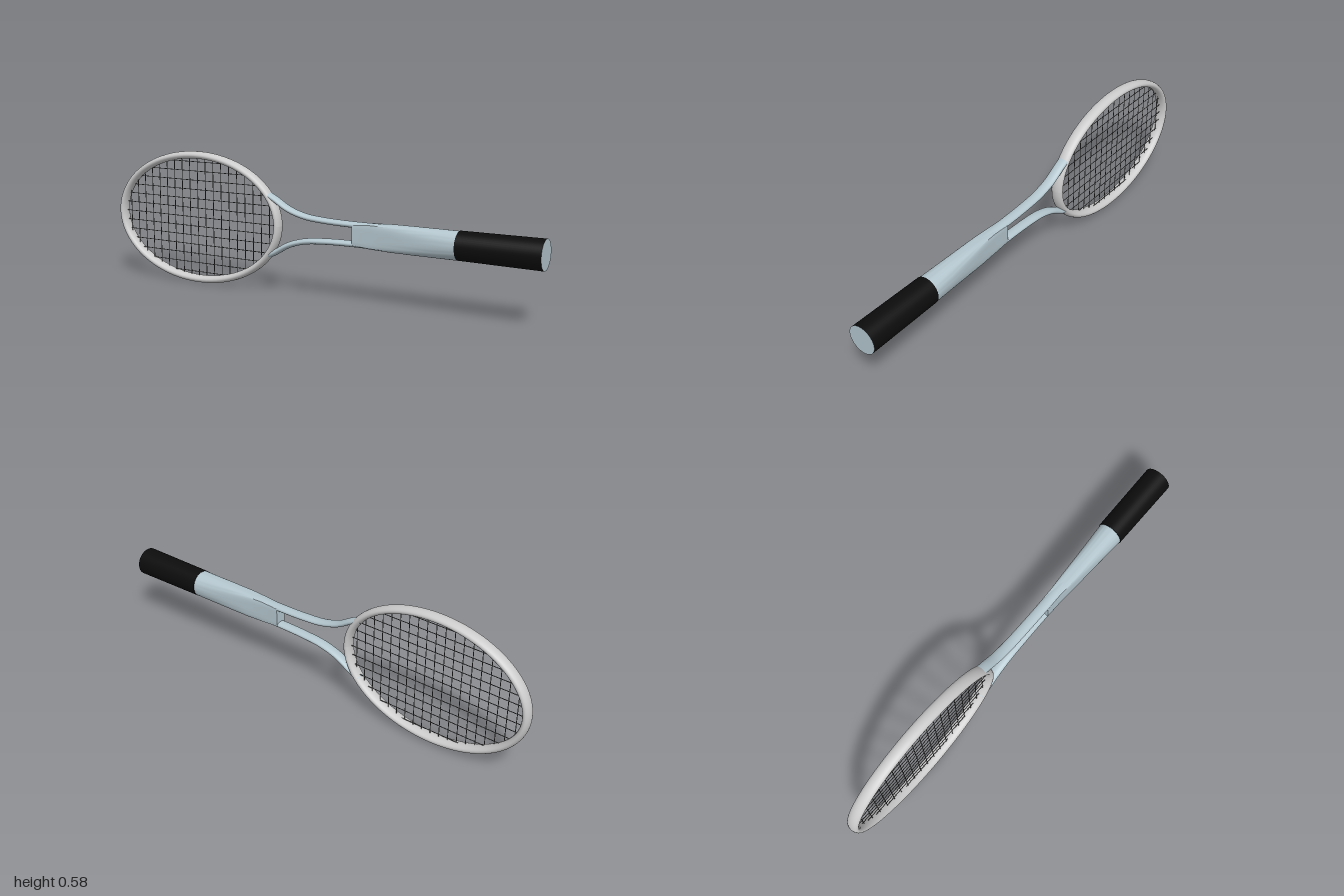
import * as THREE from 'three';
import { toCreasedNormals } from 'three/addons/utils/BufferGeometryUtils.js';

const CY = 0.2925; // height of the long axis
const HX = -0.573; // centre of the head
const RX = 0.4105, RY = 0.2765; // centre line of the hoop

const frameMat = new THREE.MeshStandardMaterial({ color: 0xcccccc });
const shaftMat = new THREE.MeshStandardMaterial({ color: 0xb4c6ce });
const gripMat = new THREE.MeshStandardMaterial({ color: 0x0c0c0c });
const stringMat = new THREE.MeshStandardMaterial({ color: 0x555555 });

// Skin a list of rings (arrays of Vector3, equal length); optional end caps.
function skin(rings, capped = false) {
  const pos = [], idx = [], n = rings[0].length;
  rings.forEach(r => r.forEach(p => pos.push(p.x, p.y, p.z)));
  for (let i = 0; i < rings.length - 1; i++) {
    for (let j = 0; j < n; j++) {
      const a = i * n + j, b = i * n + (j + 1) % n;
      idx.push(a, b, a + n, b, b + n, a + n);
    }
  }
  if (capped) {
    const last = (rings.length - 1) * n;
    for (let j = 1; j < n - 1; j++) {
      idx.push(0, j + 1, j, last, last + j, last + j + 1);
    }
  }
  const g = new THREE.BufferGeometry();
  g.setAttribute('position', new THREE.Float32BufferAttribute(pos, 3));
  g.setIndex(idx);
  g.computeVertexNormals();
  return g;
}

// Sweep an oval section (half width across the path, half depth in z) along a flat path.
function sweepOval(pointAt, tangentAt, steps, halfWidth, halfDepth, capped) {
  const rings = [];
  for (let i = 0; i <= steps; i++) {
    const p = pointAt(i / steps), t = tangentAt(i / steps);
    const ring = [];
    for (let j = 0; j < 20; j++) {
      const a = j / 20 * Math.PI * 2;
      const w = Math.cos(a) * halfWidth;
      ring.push(new THREE.Vector3(p.x - t.y * w, p.y + t.x * w, Math.sin(a) * halfDepth));
    }
    rings.push(ring);
  }
  return skin(rings, capped);
}

function add(parent, name, geometry, material) {
  const mesh = new THREE.Mesh(geometry, material);
  mesh.name = name;
  parent.add(mesh);
  return mesh;
}

export function createModel() {
  const racket = new THREE.Group();
  racket.name = 'racket';

  // Oval hoop
  const hoopGeo = sweepOval(
    t => new THREE.Vector2(HX + RX * Math.cos(t * 2 * Math.PI), CY + RY * Math.sin(t * 2 * Math.PI)),
    t => new THREE.Vector2(-RX * Math.sin(t * 2 * Math.PI), RY * Math.cos(t * 2 * Math.PI)).normalize(),
    96, 0.016, 0.027, false);
  add(racket, 'hoop', hoopGeo, frameMat);

  // String bed, each string reaching the hoop's centre line
  const strings = new THREE.Group();
  strings.name = 'strings';
  racket.add(strings);
  const pitch = 0.041, r = 0.0016;
  for (let i = -9; i <= 9; i++) {
    const len = 2 * RY * Math.sqrt(1 - (i * pitch / RX) ** 2);
    add(strings, 'crossString', new THREE.CylinderGeometry(r, r, len, 6), stringMat)
      .position.set(HX + i * pitch, CY, 0.001);
  }
  for (let i = -6; i <= 6; i++) {
    const len = 2 * RX * Math.sqrt(1 - (i * pitch / RY) ** 2);
    const s = add(strings, 'mainString', new THREE.CylinderGeometry(r, r, len, 6), stringMat);
    s.rotation.z = Math.PI / 2;
    s.position.set(HX, CY + i * pitch, -0.001);
  }

  // Two curved throat arms joining the hoop to the shaft
  for (const side of [1, -1]) {
    const path = new THREE.CatmullRomCurve3(
      [[-0.225, 0.138], [-0.18, 0.117], [-0.11, 0.077], [-0.03, 0.053],
        [0.06, 0.044], [0.2, 0.04], [0.4, 0.042]]
        .map(([x, y]) => new THREE.Vector3(x, CY + side * y, 0)));
    const geo = sweepOval(t => path.getPointAt(t), t => path.getTangentAt(t), 48, 0.0125, 0.0235, true);
    add(racket, side > 0 ? 'upperArm' : 'lowerArm', geo, shaftMat);
  }

  // Shaft: boxy at the throat, turning round towards the grip [x, half height, half depth, squareness]
  const sections = [
    [0.2, 0.044, 0.0245, 14], [0.28, 0.051, 0.0255, 10], [0.37, 0.055, 0.033, 5],
    [0.46, 0.0565, 0.040, 3.2], [0.56, 0.0575, 0.048, 2.4], [0.66, 0.058, 0.056, 2]];
  const rings = sections.map(([x, hy, hz, n]) => {
    const ring = [];
    for (let j = 0; j < 48; j++) {
      const a = j / 48 * Math.PI * 2, c = Math.cos(a), s = Math.sin(a);
      const k = (Math.abs(c) ** n + Math.abs(s) ** n) ** (-1 / n);
      ring.push(new THREE.Vector3(x, CY + c * k * hy, s * k * hz));
    }
    return ring;
  });
  add(racket, 'shaft', toCreasedNormals(skin(rings, true), 0.6), shaftMat);

  // Grip wrap and end cap
  const grip = add(racket, 'grip', new THREE.CylinderGeometry(0.0585, 0.0615, 0.344, 48, 1, true), gripMat);
  grip.rotation.z = Math.PI / 2;
  grip.position.set(0.828, CY + 0.001, 0);
  const rim = add(racket, 'gripFrontRim', new THREE.CircleGeometry(0.0585, 48), gripMat);
  rim.rotation.y = -Math.PI / 2;
  rim.position.set(0.656, CY + 0.001, 0);
  const cap = add(racket, 'endCap', new THREE.CircleGeometry(0.0615, 48), shaftMat);
  cap.rotation.y = Math.PI / 2;
  cap.position.set(1, CY + 0.001, 0);

  return racket;
}
